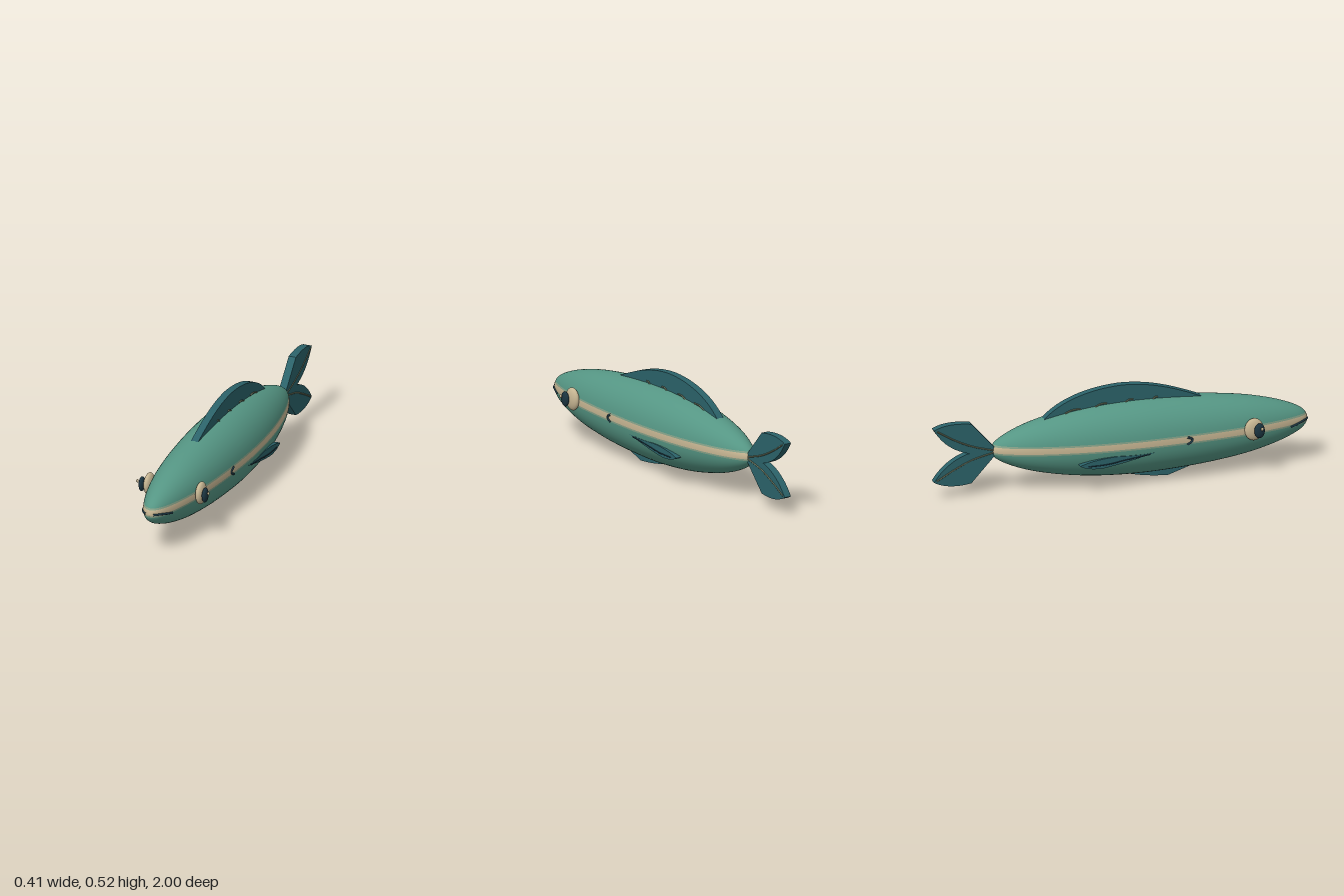
import * as THREE from 'three';

const mat = (color) => new THREE.MeshStandardMaterial({ color });
const bodyMat = mat(0x559684), blendMat = mat(0x84a188), creamMat = mat(0xc6b592);
const finMat = mat(0x2b6269), darkMat = mat(0x1b3440), rayMat = mat(0x6f7a62);
bodyMat.side = blendMat.side = creamMat.side = THREE.DoubleSide;

const CY = 0.231, HALF_W = 0.174, HALF_H = 0.199;

// Relative girth of the body along z, from nose to tail
const girth = new THREE.CatmullRomCurve3([
  [1, 0], [0.99, 0.14], [0.96, 0.29], [0.9, 0.44], [0.8, 0.61], [0.65, 0.78], [0.45, 0.91], [0.25, 0.98],
  [0.08, 1], [-0.1, 0.965], [-0.25, 0.885], [-0.4, 0.745], [-0.52, 0.58], [-0.62, 0.37], [-0.67, 0.21],
  [-0.685, 0.12], [-0.69, 0],
].map(([z, r]) => new THREE.Vector3(0, r, z)), false, 'centripetal').getPoints(96);

function girthAt(z) {
  for (let i = 1; i < girth.length; i++) {
    const a = girth[i - 1], b = girth[i];
    if (z <= a.z && z >= b.z) return THREE.MathUtils.mapLinear(z, a.z, b.z, a.y, b.y);
  }
  return 0;
}

// Half-width of the body surface at a given height and station
function sideX(y, z) {
  const g = girthAt(z), t = (y - CY) / (HALF_H * g || 1);
  return HALF_W * g * Math.sqrt(Math.max(0, 1 - t * t));
}

// Elliptical body whose rings bend to keep the side stripe level
function createBody() {
  const levels = [0.215, 0.224, 0.255, 0.264];
  const steps = [12, 1, 3, 1, 12];
  const bandMats = [0, 1, 2, 1, 0];
  const pos = [], index = [[], [], []];
  let cols = 0;
  girth.forEach((p) => {
    const cuts = levels.map((y) => Math.asin(THREE.MathUtils.clamp((y - CY) / Math.max(HALF_H * p.y, 1e-5), -1, 1)));
    const edges = [-Math.PI / 2, ...cuts, Math.PI / 2];
    const angles = [];
    steps.forEach((n, b) => {
      for (let i = 0; i < n; i++) angles.push(THREE.MathUtils.lerp(edges[b], edges[b + 1], i / n));
    });
    const ring = [...angles, Math.PI / 2, ...angles.slice(1).reverse().map((a) => Math.PI - a)];
    cols = ring.length;
    ring.forEach((a) => pos.push(Math.cos(a) * HALF_W * p.y, CY + Math.sin(a) * HALF_H * p.y, p.z));
  });
  const bands = steps.flatMap((n, b) => Array(n).fill(bandMats[b]));
  const all = [...bands, ...bands.slice().reverse()];
  for (let r = 0; r < girth.length - 1; r++) {
    for (let c = 0; c < cols; c++) {
      const d = (c + 1) % cols, a = r * cols, b = a + cols;
      index[all[c]].push(a + c, b + d, b + c, a + c, a + d, b + d);
    }
  }
  const geo = new THREE.BufferGeometry();
  geo.setAttribute('position', new THREE.Float32BufferAttribute(pos, 3));
  geo.setIndex(index.flat());
  let start = 0;
  index.forEach((list, i) => { geo.addGroup(start, list.length, i); start += list.length; });
  geo.computeVertexNormals();
  return new THREE.Mesh(geo, [bodyMat, blendMat, creamMat]);
}

// Flat fin drawn in (z, y) and extruded across x
function fin(draw, thickness, x = 0) {
  const shape = new THREE.Shape();
  draw(shape);
  const geo = new THREE.ExtrudeGeometry(shape, { depth: thickness, bevelEnabled: false, curveSegments: 14 });
  geo.translate(0, 0, -thickness / 2).rotateY(-Math.PI / 2).translate(x, 0, 0);
  return new THREE.Mesh(geo, finMat);
}

function tube(points, radius, material) {
  const curve = new THREE.CatmullRomCurve3(points.map((p) => new THREE.Vector3(...p)));
  return new THREE.Mesh(new THREE.TubeGeometry(curve, 16, radius, 8), material);
}

function ball(center, radii, material) {
  const mesh = new THREE.Mesh(new THREE.SphereGeometry(1, 28, 20), material);
  mesh.position.set(...center);
  mesh.scale.set(...radii);
  return mesh;
}

export function createModel() {
  const model = new THREE.Group();
  const add = (name, mesh) => { mesh.name = name; model.add(mesh); return mesh; };

  add('body', createBody());

  // Fins on the centre line
  add('dorsalFin', fin((s) => {
    s.moveTo(0.43, 0.413);
    s.bezierCurveTo(0.28, 0.475, 0.16, 0.518, 0, 0.52);
    s.bezierCurveTo(-0.18, 0.515, -0.34, 0.46, -0.42, 0.366);
    s.lineTo(-0.36, 0.34);
    s.lineTo(0.36, 0.39);
  }, 0.04));
  add('bellyFin', fin((s) => {
    s.moveTo(0.4, 0.05);
    s.quadraticCurveTo(0.31, 0.02, 0.25, 0);
    s.quadraticCurveTo(0.11, 0.006, 0, 0.043);
    s.lineTo(0.1, 0.08);
    s.lineTo(0.35, 0.08);
  }, 0.04));
  add('upperTailLobe', fin((s) => {
    s.moveTo(-0.655, 0.23);
    s.lineTo(-0.8, 0.393);
    s.quadraticCurveTo(-0.93, 0.415, -1, 0.378);
    s.quadraticCurveTo(-0.94, 0.27, -0.82, 0.236);
    s.lineTo(-0.67, 0.215);
  }, 0.04));
  add('lowerTailLobe', fin((s) => {
    s.moveTo(-0.655, 0.23);
    s.lineTo(-0.8, 0.07);
    s.quadraticCurveTo(-0.92, 0.048, -1, 0.094);
    s.quadraticCurveTo(-0.93, 0.2, -0.82, 0.232);
    s.lineTo(-0.67, 0.245);
  }, 0.04));

  for (const s of [1, -1]) {
    const side = s > 0 ? 'left' : 'right';

    // Eyes
    add(side + 'EyeWhite', ball([s * 0.145, 0.25, 0.672], [0.024, 0.06, 0.05], creamMat));
    add(side + 'Pupil', ball([s * 0.177, 0.251, 0.692], [0.015, 0.04, 0.028], darkMat));
    add(side + 'EyeGlint', ball([s * 0.199, 0.267, 0.7], [0.006, 0.009, 0.008], creamMat));

    // Mouth and gill marks follow the body surface
    const onSide = ([z, y]) => [s * sideX(y, z), y, z];
    add(side + 'Mouth', tube([[0.993, 0.231], [0.965, 0.229], [0.93, 0.222], [0.887, 0.213]].map(onSide), 0.006, darkMat));
    add(side + 'Gill', tube([[0.31, 0.254], [0.334, 0.242], [0.337, 0.232], [0.31, 0.213]].map(onSide), 0.006, darkMat));

    // Side fin with its ray
    add(side + 'SideFin', fin((f) => {
      f.moveTo(0.14, 0.191);
      f.quadraticCurveTo(0.03, 0.183, -0.06, 0.19);
      f.quadraticCurveTo(-0.18, 0.188, -0.265, 0.158);
      f.quadraticCurveTo(-0.22, 0.13, -0.14, 0.134);
      f.quadraticCurveTo(-0.02, 0.15, 0.14, 0.191);
    }, 0.03, s * 0.156));
    add(side + 'SideFinRay', tube([[s * 0.171, 0.183, 0.11], [s * 0.172, 0.167, -0.02],
      [s * 0.172, 0.153, -0.12], [s * 0.171, 0.15, -0.22]], 0.003, darkMat));

    // Dorsal and tail rays
    [0.18, 0.04, -0.11, -0.26].forEach((z, i) => {
      const len = 0.015 + 0.009 * i, y = CY + HALF_H * girthAt(z) + 0.004;
      add(side + 'DorsalRay' + (i + 1), tube([[s * 0.022, y + 0.004, z + len], [s * 0.023, y + 0.003, z],
        [s * 0.022, y - 0.012, z - len]], 0.004, rayMat));
    });
    add(side + 'UpperTailRay', tube([[s * 0.02, 0.236, -0.68], [s * 0.02, 0.272, -0.8],
      [s * 0.02, 0.32, -0.9], [s * 0.02, 0.373, -0.985]], 0.004, rayMat));
    add(side + 'LowerTailRay', tube([[s * 0.02, 0.226, -0.68], [s * 0.02, 0.195, -0.8],
      [s * 0.02, 0.148, -0.9], [s * 0.02, 0.1, -0.985]], 0.004, rayMat));
  }
  return model;
}
